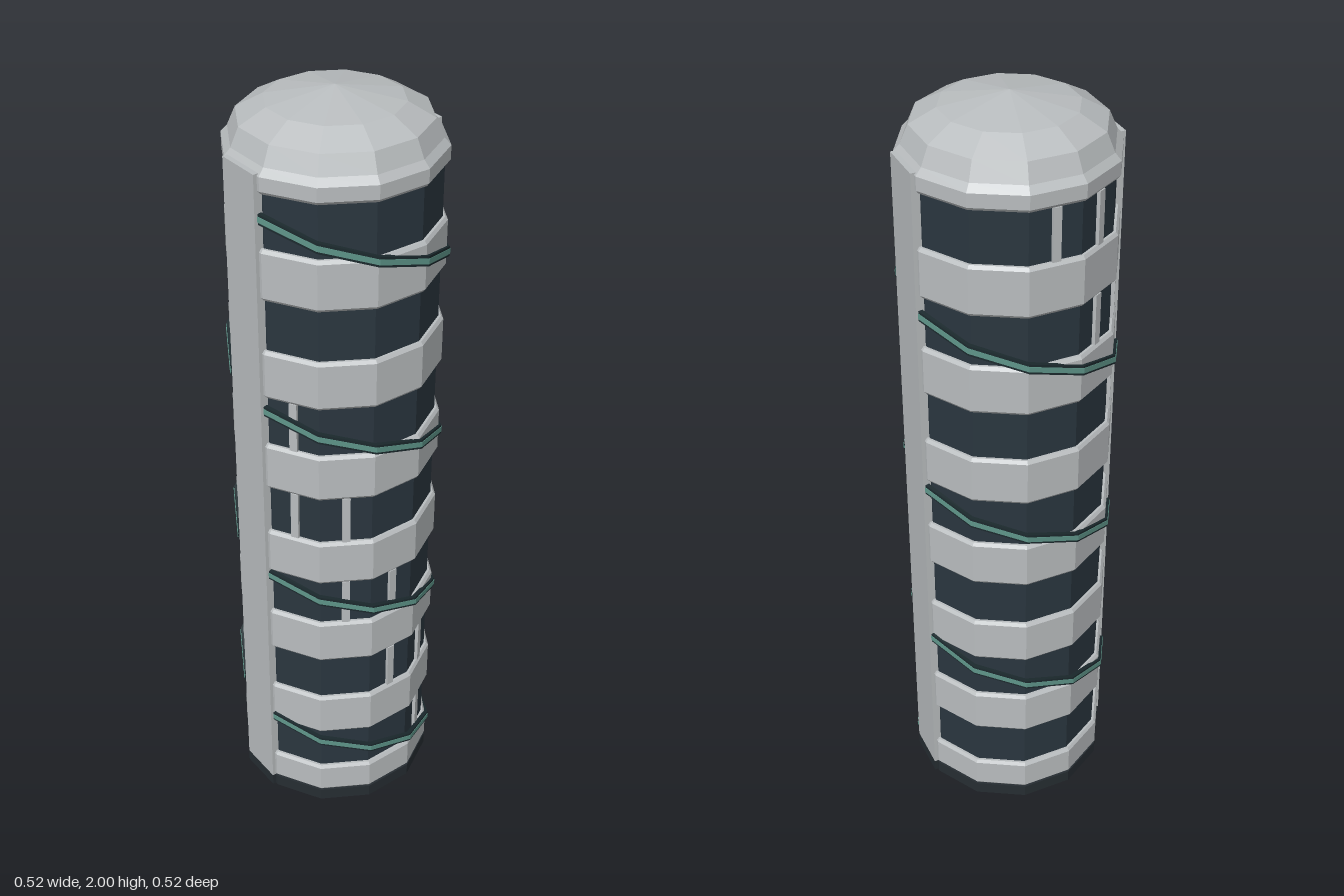
import * as THREE from 'three';

const SIDES = 12, STEP = Math.PI / 6, HALF = Math.PI / 12;
const rad = (apothem) => apothem / Math.cos(HALF);

const mats = {};
for (const [name, color] of Object.entries({
  concrete: 0xb9bdbf, glass: 0x2a363f, base: 0x262d32, ribbonDark: 0x1c2a2e, ribbonTeal: 0x5f968a,
})) {
  mats[name] = new THREE.MeshStandardMaterial({ color });
  mats[name].name = name;
}

// Faceted 12-sided solid from [apothem, y] pairs, bottom to top
function faceted(profile) {
  const pts = profile.map(([a, y]) => new THREE.Vector2(rad(a), y));
  const g = new THREE.LatheGeometry(pts, SIDES, HALF).toNonIndexed();
  g.computeVertexNormals();
  return g;
}

// Rectangular strip swept along [angle, y] stations
function strip(stations, inner, outer, height) {
  const rings = stations.map(([phi, y]) =>
    [[inner, -1], [outer, -1], [outer, 1], [inner, 1]].map(([a, s]) =>
      [rad(a) * Math.sin(phi), y + s * height / 2, rad(a) * Math.cos(phi)]));
  const pos = [];
  const quad = (a, b, c, d) => pos.push(...a, ...b, ...c, ...a, ...c, ...d);
  for (let i = 0; i + 1 < rings.length; i++) {
    const a = rings[i], b = rings[i + 1];
    for (let j = 0; j < 4; j++) {
      const k = (j + 1) % 4;
      quad(a[j], b[j], b[k], a[k]);
    }
  }
  quad(...rings[0]);
  quad(...[...rings[rings.length - 1]].reverse());
  const g = new THREE.BufferGeometry();
  g.setAttribute('position', new THREE.Float32BufferAttribute(pos, 3));
  g.computeVertexNormals();
  return g;
}

export function createModel() {
  const model = new THREE.Group();
  model.name = 'tower';
  const add = (name, geometry, mat) => {
    const m = new THREE.Mesh(geometry, mat);
    m.name = name;
    model.add(m);
    return m;
  };
  const box = (name, w, h, d, x, y, z, mat) => {
    const m = add(name, new THREE.BoxGeometry(w, h, d), mat);
    m.position.set(x, y, z);
    return m;
  };

  const R = 0.253, GLASS = 0.241, BASE = 0.035;
  const FLOORS = 7, PITCH = 0.2618, SILL = 0.127, WIN = 0.133, CH = 0.008;

  // Dark plinth
  add('base', faceted([[0, 0], [R, 0], [R, BASE], [0, BASE]]), mats.base);

  // Floors: a concrete band with a glass band above it
  for (let i = 0; i < FLOORS; i++) {
    const sill = SILL + i * PITCH;
    const low = i === 0 ? BASE : sill - PITCH + WIN;
    add('floorBand', faceted([[GLASS - 0.02, low], [R - 0.006, low], [R, low + CH],
      [R, sill - CH], [R - 0.006, sill], [GLASS - 0.02, sill]]), mats.concrete);
    add('windowBand', faceted([[GLASS, sill], [GLASS, sill + WIN]]), mats.glass);
  }

  // Roof: top band and stepped dome
  const top = SILL + (FLOORS - 1) * PITCH + WIN;
  add('roofDome', faceted([[GLASS - 0.02, top], [R - 0.006, top], [R, top + CH], [R, 1.873],
    [0.238, 1.89], [0.219, 1.935], [0.157, 1.97], [0, 2]]), mats.concrete);

  // Window posts, winding up the tower two per floor
  const posts = [[30, 60], [0, 30], [-30, 0], [-60, -30], [-120, -60], [-150, -120], [-180, -150]];
  posts.forEach((angles, i) => angles.forEach((deg) => {
    const phi = THREE.MathUtils.degToRad(deg), r = 0.24;
    const p = box('windowPost', 0.02, WIN, 0.02, r * Math.sin(phi),
      SILL + i * PITCH + WIN / 2, r * Math.cos(phi), mats.concrete);
    p.rotation.y = phi;
  }));

  // Full-height side fins on dark feet
  for (const s of [-1, 1]) {
    const side = s > 0 ? 'left' : 'right';
    box(side + 'Fin', 0.062, 1.878 - BASE, 0.12, s * 0.231, (1.878 + BASE) / 2, 0, mats.concrete);
    box(side + 'FinFoot', 0.062, BASE, 0.12, s * 0.231, BASE / 2, 0, mats.base);
  }

  // Spiral ribbon, falling half a unit per turn and broken at the fins
  for (let n = 0; n < FLOORS; n++) {
    const stations = [];
    for (let k = 0; k <= 5; k++) {
      const phi = n * Math.PI - 5 * HALF + k * STEP;
      stations.push([phi, 1.672 - 0.5 * phi / (2 * Math.PI)]);
    }
    add('spiralRibbon', strip(stations, 0.249, 0.26, 0.026), mats.ribbonDark);
    add('spiralRibbonStripe', strip(stations, 0.258, 0.2615, 0.014), mats.ribbonTeal);
  }
  return model;
}
